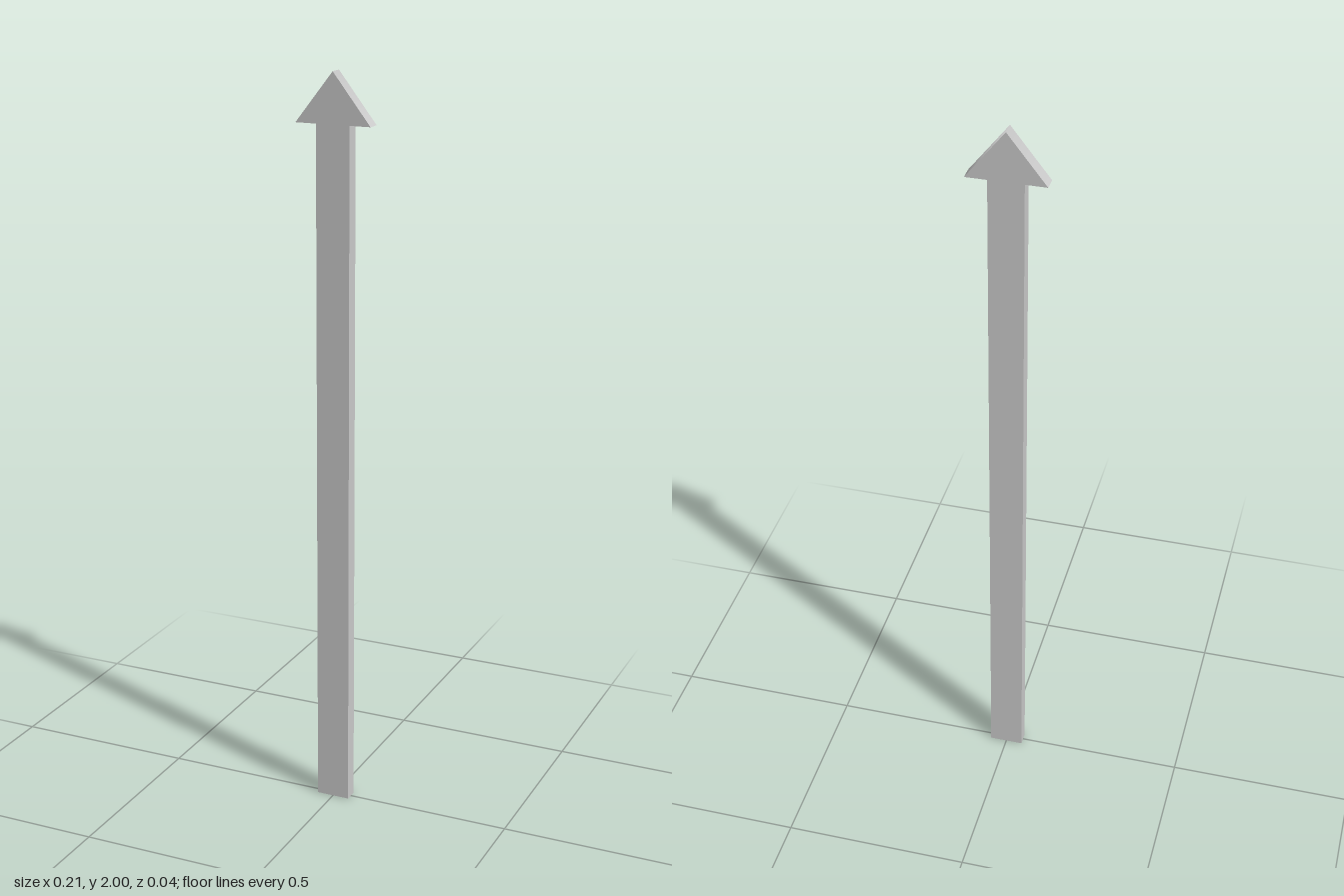
import * as THREE from 'three';

const HEIGHT = 2, HEAD_BASE = 1.868;
const HEAD_HALF = 0.103, SHAFT_HALF = 0.046, DEPTH = 0.038;

// Drops the end wall at y = 0, leaving the foot of the shaft open.
function openFoot(geometry) {
  const pos = geometry.attributes.position;
  const index = [];
  for (let i = 0; i < pos.count; i += 3) {
    const corners = [i, i + 1, i + 2];
    if (corners.some((c) => pos.getY(c) > 0.001)) index.push(...corners);
  }
  geometry.clearGroups();
  geometry.setIndex(index);
}

// Lets the two sloping edges shade smoothly into each other at the tip.
function smoothTip(geometry) {
  const pos = geometry.attributes.position;
  const normal = geometry.attributes.normal;
  for (let i = 0; i < pos.count; i++) {
    const onSide = Math.abs(normal.getZ(i)) < 0.5;
    if (onSide && pos.getY(i) > HEIGHT - 0.001) normal.setXYZ(i, 0, 1, 0);
  }
}

export function createModel() {
  const group = new THREE.Group();
  group.name = 'arrow';

  // Flat arrow outline: right half from the foot to the tip, then mirrored
  const half = [[SHAFT_HALF, 0], [SHAFT_HALF, HEAD_BASE], [HEAD_HALF, HEAD_BASE]];
  const mirrored = half.map(([x, y]) => [-x, y]).reverse();
  const outline = [...half, [0, HEIGHT], ...mirrored];
  const shape = new THREE.Shape(outline.map(([x, y]) => new THREE.Vector2(x, y)));

  const geometry = new THREE.ExtrudeGeometry(shape, { depth: DEPTH, bevelEnabled: false });
  geometry.translate(0, 0, -DEPTH / 2);
  smoothTip(geometry);
  openFoot(geometry);

  const material = new THREE.MeshStandardMaterial({ color: 0xcccccc, side: THREE.DoubleSide });
  const body = new THREE.Mesh(geometry, material);
  body.name = 'arrowBody';
  group.add(body);
  return group;
}
